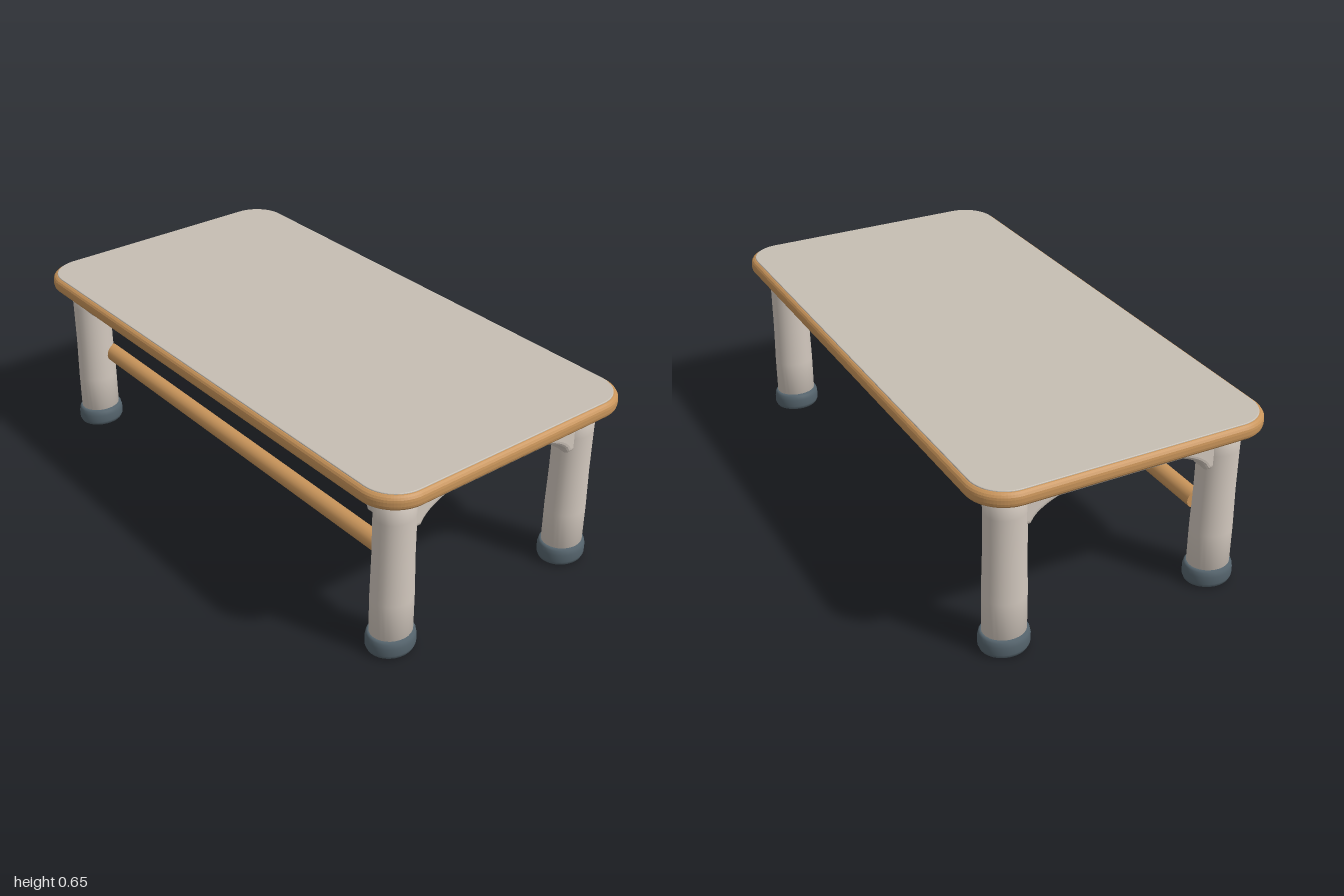
import * as THREE from 'three';

const mat = (name, color) => {
  const m = new THREE.MeshStandardMaterial({ color });
  m.name = name;
  return m;
};

// Rounded rectangle in the shape plane
function roundedRect(hx, hy, r) {
  const s = new THREE.Shape();
  s.moveTo(-hx + r, -hy);
  s.lineTo(hx - r, -hy);
  s.absarc(hx - r, -hy + r, r, -Math.PI / 2, 0);
  s.absarc(hx - r, hy - r, r, 0, Math.PI / 2);
  s.absarc(-hx + r, hy - r, r, Math.PI / 2, Math.PI);
  s.absarc(-hx + r, -hy + r, r, Math.PI, Math.PI * 1.5);
  return s;
}

// Horizontal slab from y0 to y1 with rounded rim
function slab(hx, hz, r, y0, y1, bevel) {
  const g = new THREE.ExtrudeGeometry(roundedRect(hx - bevel, hz - bevel, r - bevel), {
    depth: y1 - y0 - 2 * bevel, bevelEnabled: bevel > 0, bevelSize: bevel,
    bevelThickness: bevel, bevelSegments: 4, curveSegments: 10,
  });
  g.rotateX(-Math.PI / 2);
  g.translate(0, y0 + bevel, 0);
  return g;
}

// Rail with braces curving down into the legs, running along x
function rail(half, inner, bottom, braceX, braceY, thick) {
  const top = 0.598, b = 0.018;
  const s = new THREE.Shape();
  s.moveTo(-half, top - b);
  s.lineTo(-half, bottom - braceY);
  s.lineTo(-inner, bottom - braceY);
  s.quadraticCurveTo(-inner + braceX * 0.2, bottom - braceY * 0.2, -inner + braceX, bottom + b);
  s.lineTo(inner - braceX, bottom + b);
  s.quadraticCurveTo(inner - braceX * 0.2, bottom - braceY * 0.2, inner, bottom - braceY);
  s.lineTo(half, bottom - braceY);
  s.lineTo(half, top - b);
  const g = new THREE.ExtrudeGeometry(s, {
    depth: thick - 2 * b, bevelEnabled: true, bevelSize: b, bevelThickness: b,
    bevelSegments: 4, curveSegments: 6,
  });
  g.translate(0, 0, -thick / 2 + b);
  return g;
}

export function createModel() {
  const wood = mat('wood', 0xc8945a);
  const laminate = mat('laminate', 0xc6beb3);
  const paint = mat('paint', 0xd2c8be);
  const rubber = mat('rubber', 0x56656e);

  const model = new THREE.Group();
  model.name = 'table';
  const add = (parent, name, geometry, material) => {
    const m = new THREE.Mesh(geometry, material);
    m.name = name;
    parent.add(m);
    return m;
  };

  // Table top: wooden rim with thin panels above and below, very slightly tilted
  const top = new THREE.Group();
  top.name = 'tableTop';
  top.rotation.z = 0.005;
  model.add(top);
  add(top, 'woodenRim', slab(0.998, 0.518, 0.13, 0.586, 0.639, 0.02), wood);
  add(top, 'topPanel', slab(0.982, 0.502, 0.115, 0.634, 0.642, 0.003), laminate);
  add(top, 'underPanel', slab(0.85, 0.37, 0.03, 0.583, 0.589, 0), laminate);

  // Legs with rubber feet
  const legProfile = [[0, 0.03], [0.067, 0.03], [0.067, 0.2], [0.064, 0.35], [0.064, 0.5], [0.066, 0.6], [0, 0.6]];
  const footProfile = [[0, 0], [0.064, 0], [0.073, 0.005], [0.078, 0.018], [0.078, 0.045],
    [0.075, 0.06], [0.069, 0.068], [0, 0.068]];
  const lathe = (pts) => new THREE.LatheGeometry(pts.map(([x, y]) => new THREE.Vector2(x, y)), 28);
  const legGeometry = lathe(legProfile);
  const footGeometry = lathe(footProfile);
  for (const x of [-0.875, 0.872]) {
    for (const z of [-0.382, 0.384]) {
      const leg = new THREE.Group();
      leg.name = (z > 0 ? 'front' : 'back') + (x > 0 ? 'Left' : 'Right') + 'Leg';
      leg.position.set(x, 0, z);
      leg.scale.set(0.97, 1, 1.09);
      model.add(leg);
      add(leg, 'post', legGeometry, paint);
      add(leg, 'foot', footGeometry, rubber);
    }
  }

  // Frame rails under the top
  const longRail = rail(0.87, 0.805, 0.54, 0.05, 0.035, 0.09);
  const endRail = rail(0.385, 0.325, 0.517, 0.1, 0.05, 0.09);
  for (const s of [-1, 1]) {
    add(model, s > 0 ? 'frontRail' : 'backRail', longRail, paint).position.z = s * 0.385;
    const end = add(model, s > 0 ? 'leftRail' : 'rightRail', endRail, paint);
    end.rotation.y = Math.PI / 2;
    end.position.x = s * 0.873;
  }

  // Round wooden stretcher between the front legs
  const bar = new THREE.CylinderGeometry(0.031, 0.031, 1.68, 16);
  bar.rotateZ(Math.PI / 2);
  const stretcher = add(model, 'frontStretcher', bar, wood);
  stretcher.position.set(0, 0.298, 0.338);
  stretcher.rotation.z = 0.003;
  return model;
}
